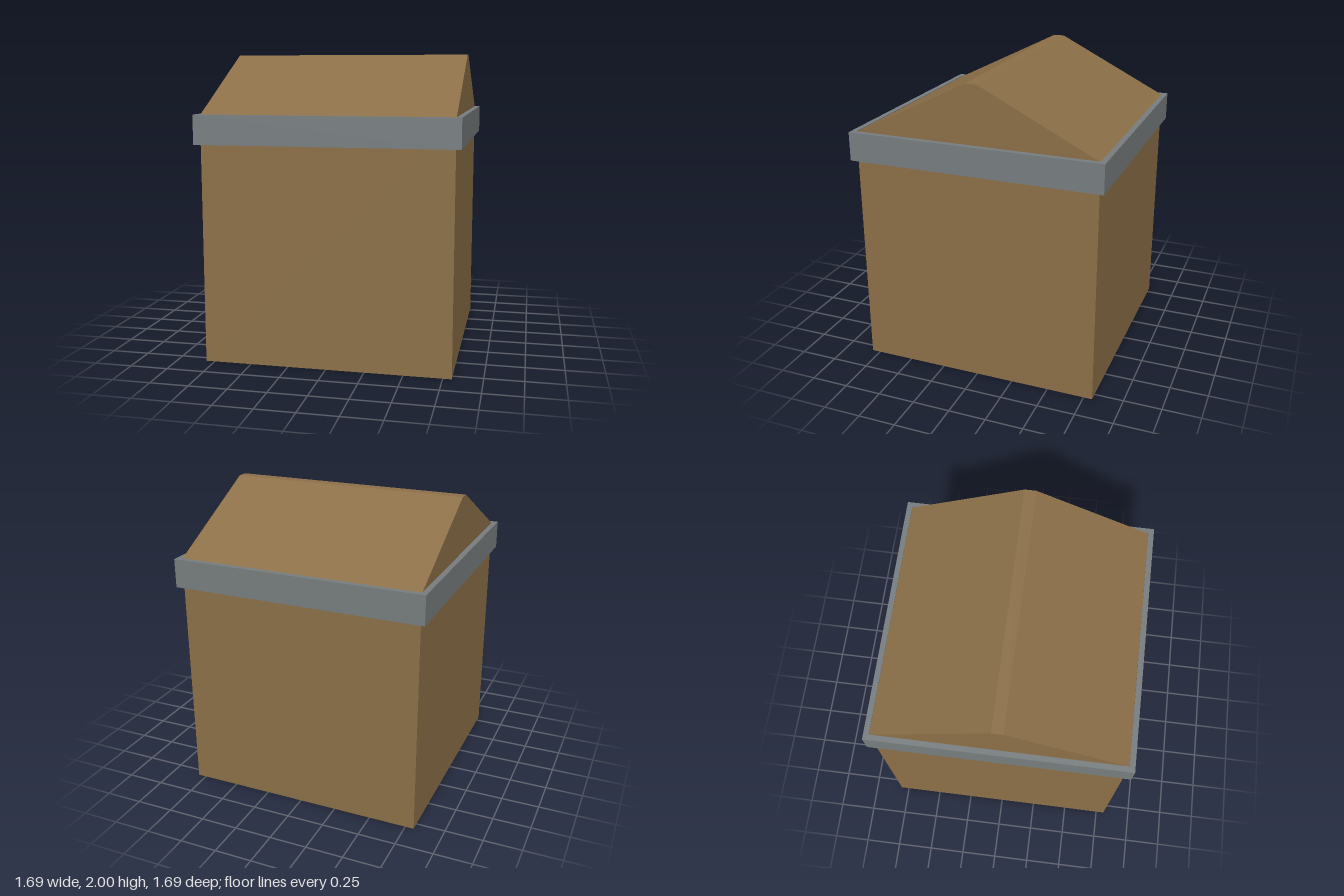
import * as THREE from 'three';

export function createModel() {
  const group = new THREE.Group();
  const wood = new THREE.MeshStandardMaterial({ color: 0x8b6f47 });
  wood.name = 'brown wood';
  const metal = new THREE.MeshStandardMaterial({ color: 0x767c7e });
  metal.name = 'grey trim';

  const half = 0.807;   // half width of the walls
  const outer = 0.843;  // half width of the trim band

  // Walls: square block reaching up inside the trim band
  const wallHeight = 1.615;
  const walls = new THREE.Mesh(new THREE.BoxGeometry(half * 2, wallHeight, half * 2), wood);
  walls.name = 'walls';
  walls.position.y = wallHeight / 2;
  group.add(walls);

  // Roof: gable profile with a narrow flat ridge, extruded along x
  const profile = new THREE.Shape([
    new THREE.Vector2(-half, wallHeight),
    new THREE.Vector2(half, wallHeight),
    new THREE.Vector2(0.037, 2),
    new THREE.Vector2(-0.037, 2),
  ]);
  const roofGeometry = new THREE.ExtrudeGeometry(profile, { depth: half * 2, bevelEnabled: false });
  roofGeometry.translate(0, 0, -half).rotateY(Math.PI / 2);
  const roof = new THREE.Mesh(roofGeometry, wood);
  roof.name = 'roof';
  group.add(roof);

  // Trim band: square ring around the eaves
  const square = (r) => [[-r, -r], [r, -r], [r, r], [-r, r]].map(([x, y]) => new THREE.Vector2(x, y));
  const ring = new THREE.Shape(square(outer));
  ring.holes.push(new THREE.Path(square(half).reverse()));
  const bandGeometry = new THREE.ExtrudeGeometry(ring, { depth: 0.19, bevelEnabled: false });
  bandGeometry.rotateX(-Math.PI / 2);
  const band = new THREE.Mesh(bandGeometry, metal);
  band.name = 'trimBand';
  band.position.y = 1.43;
  group.add(band);

  return group;
}
